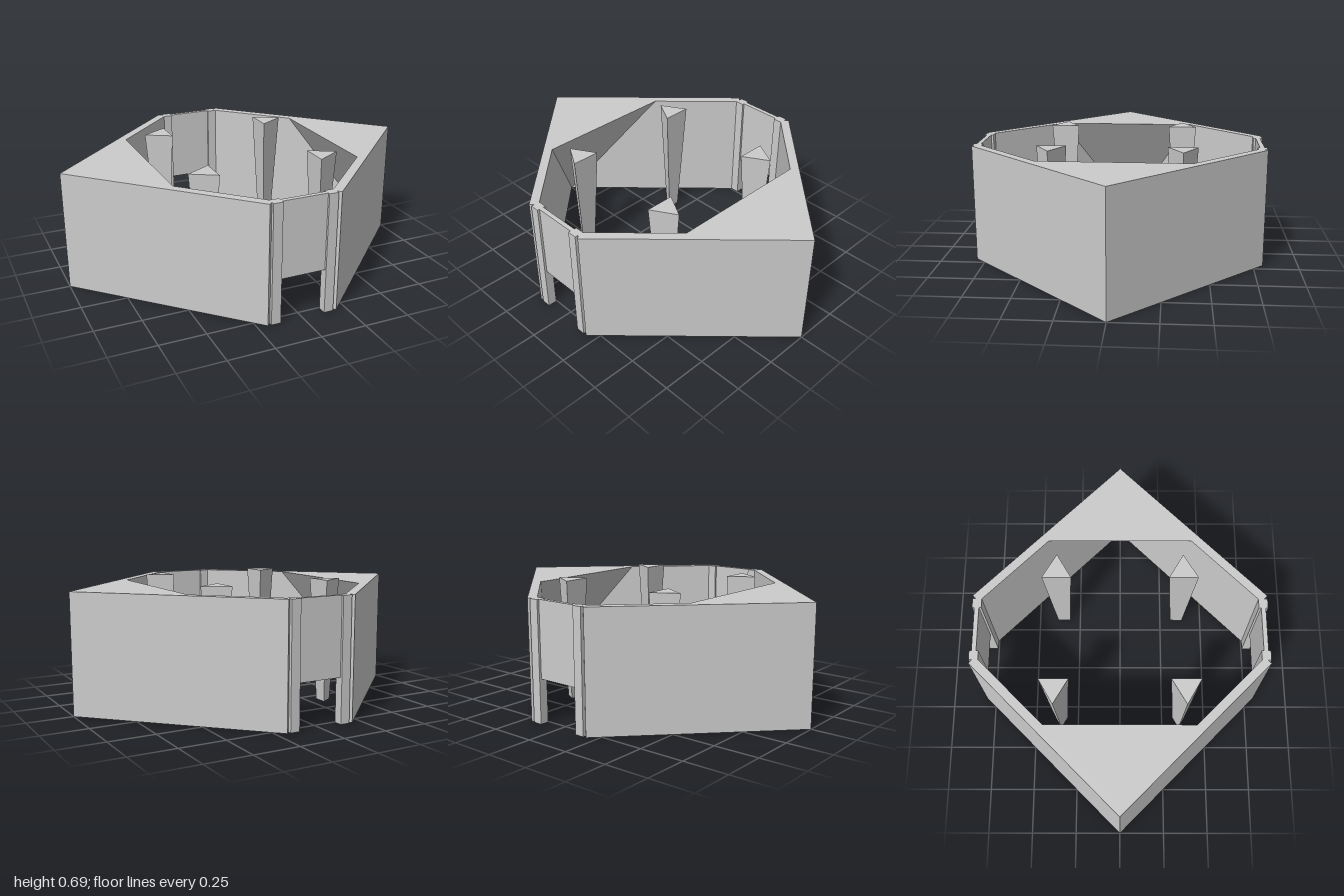
import * as THREE from 'three';
import { ConvexGeometry } from 'three/addons/geometries/ConvexGeometry.js';

const H = 0.655; // wall height

export function createModel() {
  const model = new THREE.Group();
  model.name = 'walledEnclosure';
  const mat = new THREE.MeshStandardMaterial({ color: 0xcccccc, flatShading: true });

  const add = (name, geo, x = 0, y = 0, z = 0) => {
    const mesh = new THREE.Mesh(geo, mat);
    mesh.name = name;
    mesh.position.set(x, y, z);
    model.add(mesh);
    return mesh;
  };

  for (const sx of [1, -1]) {
    const side = sx > 0 ? 'left' : 'right';

    // V-shaped pair of outer walls
    const plan = [[1, 0], [0.195, 0.805], [0.16, 0.77], [0.93, 0], [0.16, -0.77], [0.195, -0.805]];
    const shape = new THREE.Shape(plan.map(([x, z]) => new THREE.Vector2(sx * x, z)));
    const walls = new THREE.ExtrudeGeometry(shape, { depth: H, bevelEnabled: false });
    walls.rotateX(-Math.PI / 2);
    add(side + 'Walls', walls);

    // Corner platform, tapering down to a point in the corner
    add(side + 'CornerPlatform', new ConvexGeometry([
      new THREE.Vector3(sx * 0.53, H, 0.4),
      new THREE.Vector3(sx * 0.53, H, -0.4),
      new THREE.Vector3(sx * 0.93, H, 0),
      new THREE.Vector3(sx * 0.93, 0, 0),
    ]));

    for (const sz of [1, -1]) {
      const end = sz > 0 ? 'Front' : 'Back';

      // Gate post
      add(side + end + 'GatePost', new THREE.BoxGeometry(0.052, H, 0.05), sx * 0.15, H / 2, sz * 0.78);

      // Tapered three-sided pillar, one corner pointing outward
      const pillar = new THREE.CylinderGeometry(0.093, 0.042, 0.685, 3);
      pillar.rotateY(sx * Math.PI / 2);
      add(side + end + 'Pillar', pillar, sx * 0.337, 0.3425, sz * 0.35);
    }
  }

  // Raised gate panels
  for (const sz of [1, -1]) {
    const h = H - 0.24;
    add(sz > 0 ? 'frontGate' : 'backGate', new THREE.BoxGeometry(0.26, h, 0.025), 0, 0.24 + h / 2, sz * 0.78);
  }
  return model;
}
